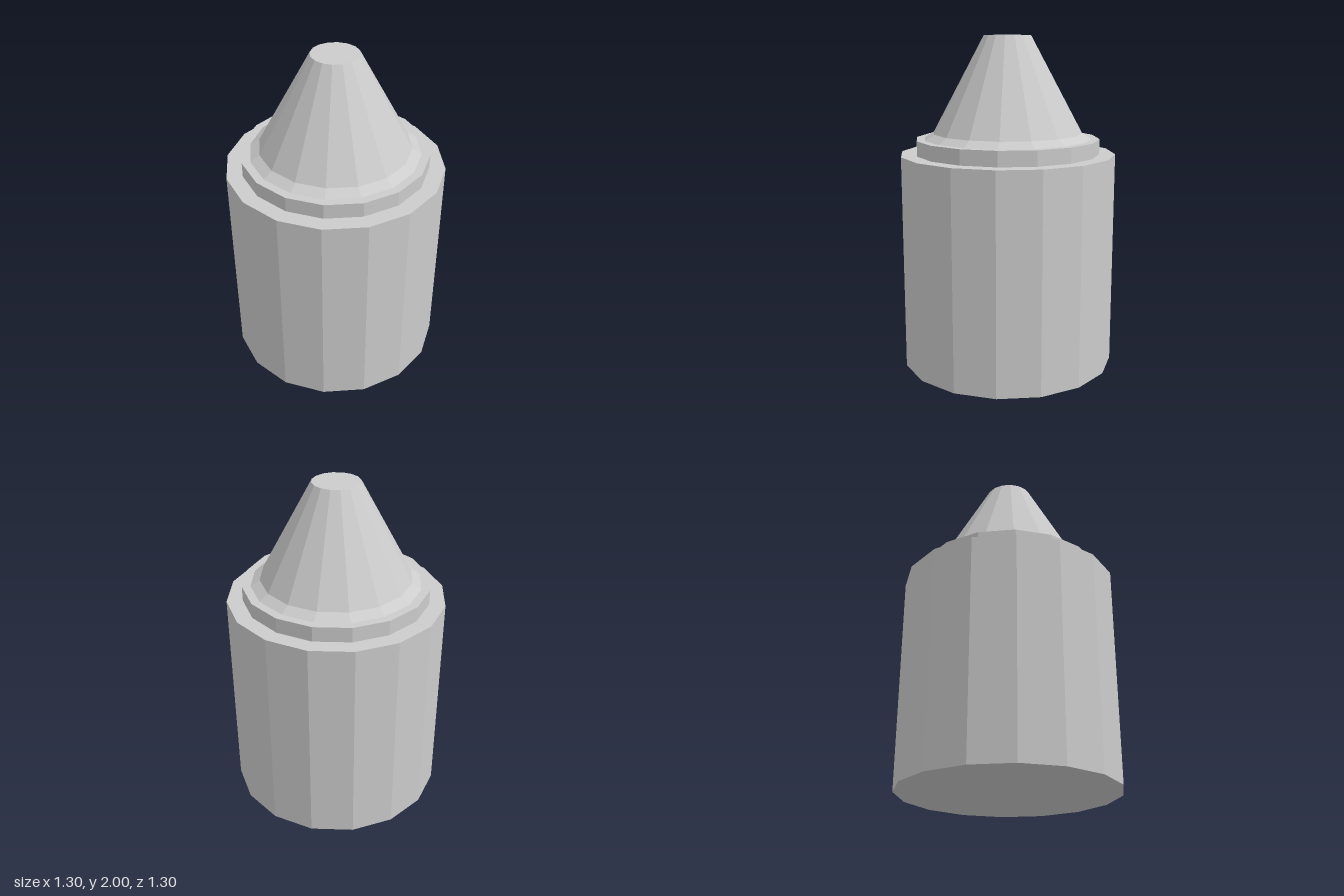
import * as THREE from 'three';

const SIDES = 16;

export function createModel() {
  const group = new THREE.Group();
  const material = new THREE.MeshStandardMaterial({ color: 0xcccccc, flatShading: true });

  // Sixteen-sided drum or frustum standing between two heights
  function addTier(name, bottomRadius, topRadius, bottom, top) {
    const geometry = new THREE.CylinderGeometry(topRadius, bottomRadius, top - bottom, SIDES);
    const mesh = new THREE.Mesh(geometry, material);
    mesh.name = name;
    mesh.position.y = (bottom + top) / 2;
    group.add(mesh);
  }

  // Wide drum body and the narrower step on top of it
  addTier('body', 0.65, 0.65, 0, 1.3);
  addTier('step', 0.555, 0.555, 1.3, 1.39);

  // Bevelled collar leading into the tapered, flat-ended nose
  addTier('collar', 0.505, 0.45, 1.39, 1.425);
  addTier('nose', 0.45, 0.14, 1.425, 2);

  return group;
}
